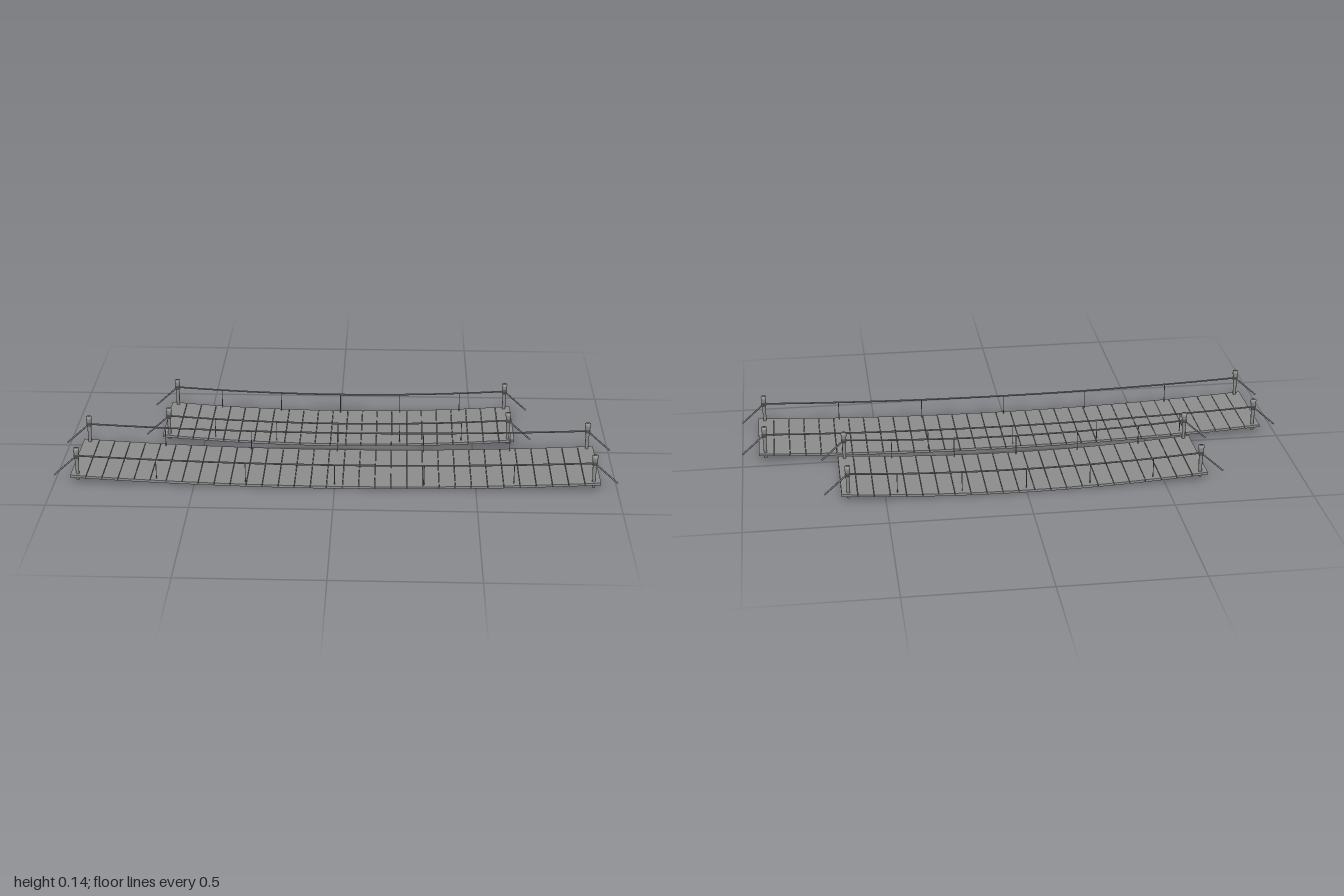
import * as THREE from 'three';

const grey = new THREE.MeshStandardMaterial({ color: 0x8c8c8c });
grey.name = 'weatheredGrey';

function add(parent, name, geometry, x = 0, y = 0, z = 0) {
  const mesh = new THREE.Mesh(geometry, grey);
  mesh.name = name;
  mesh.position.set(x, y, z);
  parent.add(mesh);
  return mesh;
}

function rope(parent, name, points, radius, segments) {
  const curve = new THREE.CatmullRomCurve3(points);
  return add(parent, name, new THREE.TubeGeometry(curve, segments, radius, 6));
}

// Turned post with a thicker head, tapering towards the foot
const postProfile = [
  [0, 0.014], [0.006, 0.014], [0.006, 0.04], [0.0075, 0.1],
  [0.0085, 0.112], [0.0105, 0.125], [0.0105, 0.136], [0, 0.136],
].map(([r, y]) => new THREE.Vector2(r, y));

function createBridge(name, { half, planks, postX, hangerStep, deckEnd }) {
  const bridge = new THREE.Group();
  bridge.name = name;
  const thickness = 0.009, deckMid = 0.0047, width = 0.31, railZ = 0.1375;
  const pitch = (2 * half) / planks;
  const deckY = x => deckMid + (deckEnd - deckMid) * (x / half) ** 2;
  const railY = x => 0.084 + 0.022 * (x / postX) ** 2;

  // Sagging deck of separate planks
  for (let i = 0; i < planks; i++) {
    const x = -half + (i + 0.5) * pitch;
    const plank = add(bridge, 'plank', new THREE.BoxGeometry(pitch - 0.0015, thickness, width), x, deckY(x), 0);
    plank.rotation.z = Math.atan(2 * (deckEnd - deckMid) * x / half ** 2);
  }

  for (const side of [-1, 1]) {
    const z = side * railZ;
    // Hand rope hanging between the posts
    const points = [];
    for (let i = 0; i <= 12; i++) {
      const x = postX * (i / 6 - 1);
      points.push(new THREE.Vector3(x, railY(x), z));
    }
    rope(bridge, 'handRope', points, 0.003, 36);

    // Thin hangers from hand rope to deck
    for (let i = -2; i <= 2; i++) {
      const x = i * hangerStep, bottom = deckY(x), height = railY(x) - bottom;
      add(bridge, 'hanger', new THREE.CylinderGeometry(0.0015, 0.0015, height, 6), x, bottom + height / 2, z);
    }

    for (const end of [-1, 1]) {
      const x = end * postX;
      add(bridge, 'post', new THREE.LatheGeometry(postProfile, 10), x, 0, z);
      // Rope wound around the post
      for (const y of [0.102, 0.108]) {
        const ring = add(bridge, 'ropeWrap', new THREE.TorusGeometry(0.0075, 0.003, 6, 12), x, y, z);
        ring.rotation.x = Math.PI / 2;
      }
      // Guy rope running down to the bank
      rope(bridge, 'guyRope', [
        new THREE.Vector3(x, 0.106, z),
        new THREE.Vector3(x + end * 0.084, 0.03, z),
      ], 0.003, 1);
    }
  }
  return bridge;
}

export function createModel() {
  const model = new THREE.Group();
  model.name = 'ropeBridges';
  const long = createBridge('longBridge', { half: 0.94, planks: 33, postX: 0.915, hangerStep: 0.317, deckEnd: 0.0335 });
  const short = createBridge('shortBridge', { half: 0.655, planks: 23, postX: 0.63, hangerStep: 0.229, deckEnd: 0.0315 });
  long.position.z = 0.18;
  short.position.z = -0.18;
  model.add(long, short);
  return model;
}
